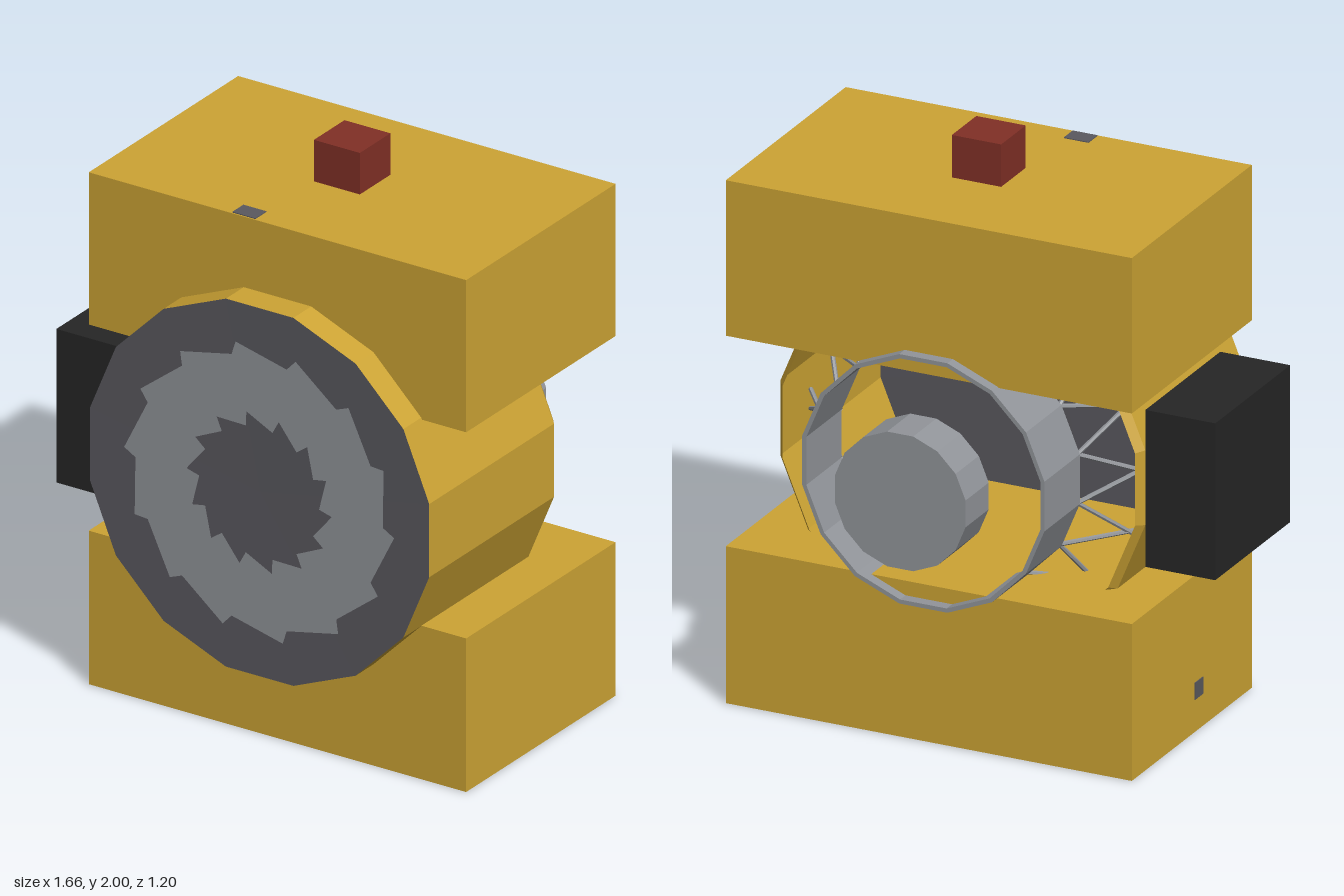
import * as THREE from 'three';

const CX = 0.09, CY = 0.93, SIDES = 16;
const mat = (name, color, extra = {}) =>
  Object.assign(new THREE.MeshStandardMaterial({ color, flatShading: true, ...extra }), { name });

export function createModel() {
  const model = new THREE.Group();
  const two = { side: THREE.DoubleSide };
  const yellow = mat('yellow', 0xcda434);
  const yellowShell = mat('yellow shell', 0xcda434, two);
  const darkGrey = mat('dark grey', 0x5a595f, two);
  const lightGrey = mat('light grey', 0x92959a, two);
  const black = mat('black', 0x262626);
  const red = mat('red', 0x813026);

  const add = (name, geo, material, x = 0, y = 0, z = 0) => {
    const m = new THREE.Mesh(geo, material);
    m.name = name;
    m.position.set(x, y, z);
    model.add(m);
    return m;
  };
  // box given by its limits
  const box = (name, material, x0, x1, y0, y1, z0, z1) =>
    add(name, new THREE.BoxGeometry(x1 - x0, y1 - y0, z1 - z0), material,
      (x0 + x1) / 2, (y0 + y1) / 2, (z0 + z1) / 2);
  // sixteen-sided shell around the z axis; profile is [radius, z]
  const shell = (name, material, profile) =>
    add(name, new THREE.LatheGeometry(profile.map(p => new THREE.Vector2(...p)), SIDES, Math.PI / SIDES)
      .rotateX(Math.PI / 2), material, CX, CY, 0);

  // body blocks, button and side grip
  box('lowerBlock', yellow, -0.65, 0.83, 0, 0.555, -0.39, 0.49);
  box('upperBlock', yellow, -0.65, 0.83, 1.3, 1.85, -0.39, 0.49);
  box('topButton', red, 0, 0.18, 1.85, 2, -0.04, 0.14);
  box('sideGrip', black, -0.83, -0.575, 0.65, 1.205, -0.14, 0.41);

  // open-backed drum, rear collar and rear knob
  shell('drum', yellowShell, [[0.655, -0.17], [0.678, -0.14], [0.678, 0.595]]);
  shell('rearCollar', lightGrey, [[0.435, -0.17], [0.435, -0.43], [0.45, -0.43], [0.45, -0.17]]);
  shell('rearKnob', lightGrey, [[0, -0.6], [0.243, -0.6], [0.243, -0.43], [0, -0.43]]);

  // front plate with a saw-edged ring
  shell('frontPlate', darkGrey, [[0, 0.59], [0.678, 0.595]]);
  const saw = (low, high, dir) => {
    const pts = [];
    for (let i = 0; i < 14; i++) {
      const a = (i / 14) * Math.PI * 2, b = a + 0.40;
      pts.push(new THREE.Vector2(Math.cos(a) * low, Math.sin(a) * low));
      pts.push(new THREE.Vector2(Math.cos(b) * high, Math.sin(b) * high));
    }
    return dir < 0 ? pts.reverse() : pts;
  };
  const ring = new THREE.Shape(saw(0.485, 0.53, 1));
  ring.holes.push(new THREE.Path(saw(0.235, 0.285, -1)));
  add('frontRing', new THREE.ShapeGeometry(ring), lightGrey, CX, CY, 0.598);

  // crossed struts between the collar and the drum
  const strut = new THREE.CylinderGeometry(0.008, 0.008, 1, 6);
  const up = new THREE.Vector3(0, 1, 0);
  for (let i = 0; i < SIDES; i++) {
    for (const s of [-1, 1]) {
      const a = ((i + 0.5) / SIDES) * Math.PI * 2, b = a + s * 0.25;
      const p = new THREE.Vector3(CX + Math.cos(a) * 0.44, CY + Math.sin(a) * 0.44, -0.17);
      const q = new THREE.Vector3(CX + Math.cos(b) * 0.65, CY + Math.sin(b) * 0.65, 0.05);
      const m = add('strut', strut, lightGrey);
      m.position.copy(p).add(q).multiplyScalar(0.5);
      q.sub(p);
      m.scale.y = q.length();
      m.quaternion.setFromUnitVectors(up, q.normalize());
    }
  }

  // small flush studs
  box('topStud', darkGrey, -0.09, 0, 1.848, 1.853, 0.42, 0.485);
  box('sideStud', darkGrey, -0.653, -0.648, 0.115, 0.175, 0.07, 0.13);
  box('bottomStud', darkGrey, 0.28, 0.36, 0, 0.002, -0.03, 0.03).position.y = -0.001;
  return model;
}
